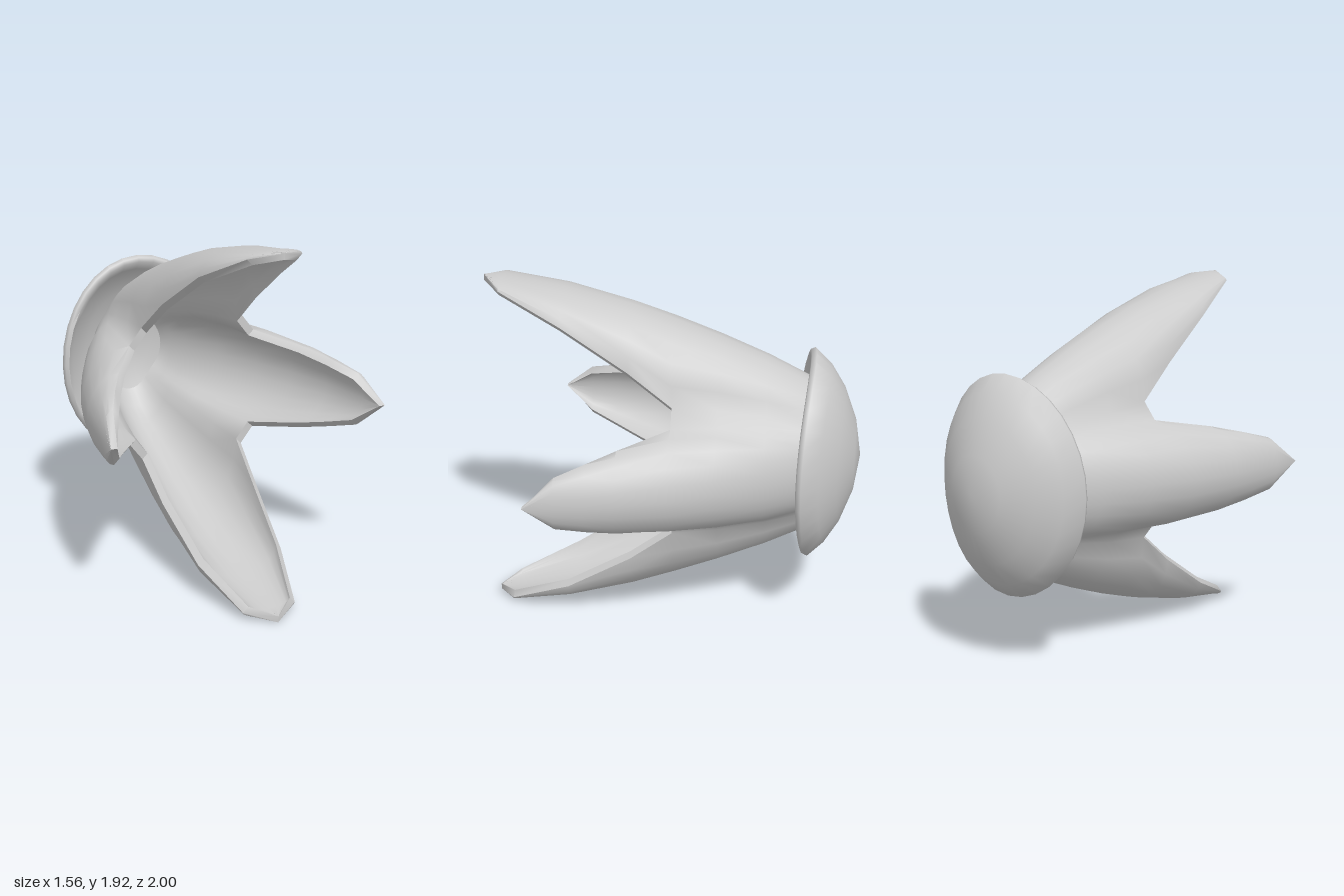
import * as THREE from 'three';
import { toCreasedNormals } from 'three/addons/utils/BufferGeometryUtils.js';

const CENTRE_Y = 0.96;
const WALL = 0.03;
const NOTCH_ROW = 5; // petals separate in front of this row
const COLS = 11; // columns across one petal

// Petal cross-sections from back to tip: z, half width, edge distance, spine distance
const TALL = [
  [-0.87, 0.15, 0.2, 0.29], [-0.8, 0.18, 0.24, 0.38], [-0.7, 0.2, 0.27, 0.45],
  [-0.5, 0.24, 0.31, 0.55], [-0.25, 0.275, 0.35, 0.655], [-0.01, 0.3, 0.37, 0.745],
  [0.22, 0.285, 0.55, 0.82], [0.57, 0.245, 0.77, 0.905], [0.9, 0.15, 0.92, 0.955], [1, 0, 0.955, 0.96],
];
const SIDE = [
  [-0.87, 0.16, 0.18, 0.23], [-0.8, 0.2, 0.21, 0.265], [-0.7, 0.23, 0.23, 0.315],
  [-0.5, 0.27, 0.29, 0.435], [-0.25, 0.285, 0.34, 0.555], [-0.01, 0.28, 0.37, 0.65],
  [0.25, 0.23, 0.54, 0.72], [0.4, 0.19, 0.625, 0.745], [0.55, 0.145, 0.7, 0.765], [0.705, 0, 0.775, 0.78],
];

// Cap profile from back pole over the lip to the hollow: radius, z at the sides, z at top and bottom
const CAP = [
  [0, -1, -1], [0.34, -0.965, -0.97], [0.65, -0.875, -0.905], [0.86, -0.78, -0.83],
  [1, -0.69, -0.745], [0.98, -0.67, -0.72], [0.94, -0.663, -0.715],
  [0.85, -0.72, -0.77], [0.6, -0.83, -0.86], [0.3, -0.91, -0.92], [0, -0.94, -0.94],
];

// One skin of the four-petal cup, moved towards the axis by inset
function skinPoints(inset) {
  const out = [];
  for (let row = 0; row < TALL.length; row++) {
    const arc = Math.min(0.8 + row * 0.155, Math.PI / 2);
    for (let k = 0; k < 4; k++) {
      const [z, w, e, b] = (k % 2 ? TALL : SIDE)[row];
      const phi = k * Math.PI / 2, cos = Math.cos(phi), sin = Math.sin(phi);
      for (let c = 0; c < COLS; c++) {
        const t = arc * (2 * c / (COLS - 1) - 1);
        const across = Math.max(w - inset, 0) * Math.sin(t) / Math.sin(arc);
        const outward = e - inset + (b - e) * (Math.cos(t) - Math.cos(arc)) / (1 - Math.cos(arc));
        out.push(cos * outward - sin * across, CENTRE_Y + sin * outward + cos * across, z);
      }
    }
  }
  return out;
}

function cupGeometry() {
  const around = 4 * COLS;
  const outer = skinPoints(0);
  const count = outer.length / 3;
  const skin = [];
  for (let row = 0; row < TALL.length - 1; row++) {
    for (let c = 0; c < around; c++) {
      if (row >= NOTCH_ROW && c % COLS === COLS - 1) continue; // gap between petals
      const n = (c + 1) % around;
      const a = row * around + c, b = row * around + n;
      skin.push(a, b, b + around, a, b + around, a + around);
    }
  }
  // Inner skin faces the other way; every open edge gets a strip of wall
  const index = [...skin];
  const edges = new Set();
  for (let i = 0; i < skin.length; i += 3) {
    const tri = skin.slice(i, i + 3);
    index.push(tri[0] + count, tri[2] + count, tri[1] + count);
    tri.forEach((p, j) => edges.add(p * count + tri[(j + 1) % 3]));
  }
  for (const key of edges) {
    const p = Math.floor(key / count), q = key % count;
    if (!edges.has(q * count + p)) index.push(q, p, p + count, q, p + count, q + count);
  }
  const geo = new THREE.BufferGeometry();
  geo.setAttribute('position', new THREE.Float32BufferAttribute([...outer, ...skinPoints(WALL)], 3));
  geo.setIndex(index);
  return toCreasedNormals(geo, 1.0);
}

// Oval hollow dome whose rim dips at the top and bottom
function capGeometry() {
  const geo = new THREE.LatheGeometry(CAP.map(([r], i) => new THREE.Vector2(r, i)), 32);
  const pos = geo.attributes.position;
  for (let i = 0; i < pos.count; i++) {
    const x = pos.getX(i), y = -pos.getZ(i);
    const [, zSide, zTop] = CAP[Math.round(pos.getY(i))];
    const side = x * x / (x * x + y * y || 1);
    pos.setXYZ(i, x * 0.49, CENTRE_Y + y * 0.58, zTop + (zSide - zTop) * side);
  }
  return toCreasedNormals(geo, 1.2);
}

export function createModel() {
  const group = new THREE.Group();
  group.name = 'petalCup';
  const material = new THREE.MeshStandardMaterial({ color: 0xcccccc, side: THREE.DoubleSide });
  const add = (name, geo) => {
    const mesh = new THREE.Mesh(geo, material);
    mesh.name = name;
    group.add(mesh);
  };
  add('petals', cupGeometry());
  add('backCap', capGeometry());
  return group;
}
